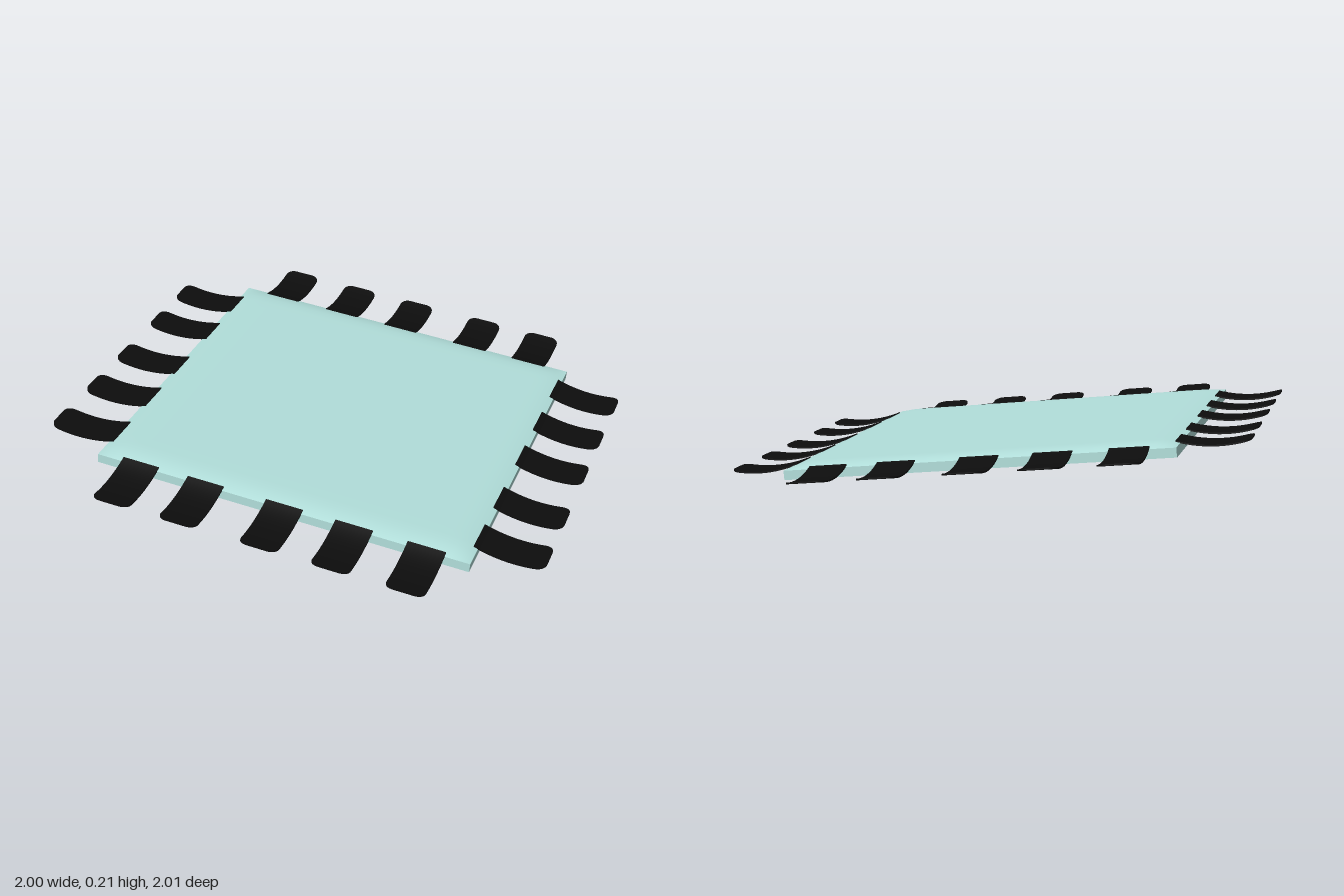
import * as THREE from 'three';

const HALF = 0.747;      // half the cushion's side
const EDGE = 0.036;      // height of the side walls
const CROWN = 0.016;     // extra height of the padded top
const TILT = -0.1015;

const clothMaterial = new THREE.MeshStandardMaterial({ color: 0xb2dfdb });
const tabMaterial = new THREE.MeshStandardMaterial({ color: 0x0d0d0d });

// Move every vertex of a geometry by a rule
function reshape(geometry, rule) {
  const p = geometry.attributes.position;
  const v = new THREE.Vector3();
  for (let i = 0; i < p.count; i++) {
    rule(v.fromBufferAttribute(p, i));
    p.setXYZ(i, v.x, v.y, v.z);
  }
  geometry.computeVertexNormals();
  return geometry;
}

// Square pad: flat base, straight walls, softly crowned top
function padGeometry() {
  const rise = (u) => {
    const t = Math.min(1, (1 - Math.abs(u)) * HALF / 0.1);
    return 1 - (1 - t) ** 2;
  };
  return reshape(new THREE.BoxGeometry(2, 1, 2, 28, 1, 28), (v) => {
    const u = Math.sin(v.x * Math.PI / 2); // denser grid towards the rim
    const w = Math.sin(v.z * Math.PI / 2);
    const top = v.y > 0;
    v.set(u * HALF, top ? EDGE + CROWN * rise(u) * rise(w) : 0, w * HALF);
  });
}

// Thin strap running outwards along +z, sagging, with a rounded outer end
function tabGeometry() {
  const start = 0.73, end = 1.003, halfWidth = 0.074, radius = 0.035;
  return reshape(new THREE.BoxGeometry(2, 0.006, 1, 4, 1, 24), (v) => {
    const s = Math.sin((v.z + 0.5) * Math.PI / 2); // denser rows at the tip
    const z = start + (end - start) * s;
    const over = Math.max(0, z - (end - radius));
    const inset = radius - Math.sqrt(Math.max(0, radius ** 2 - over ** 2));
    const k = (z - 0.885) / 0.118;
    v.set(v.x * (halfWidth - inset), v.y + 0.018 + 0.014 * k * k, z);
  });
}

export function createModel() {
  const model = new THREE.Group();
  model.name = 'tabbedPad';

  const tilted = new THREE.Group();
  tilted.name = 'tiltedPad';
  tilted.position.y = 0.079;
  tilted.rotation.z = TILT;
  model.add(tilted);

  const pad = new THREE.Mesh(padGeometry(), clothMaterial);
  pad.name = 'pad';
  tilted.add(pad);

  // Five unevenly spaced tabs, repeated around the four sides
  const offsets = [-0.573, -0.305, 0.015, 0.292, 0.575];
  const tab = tabGeometry();
  ['front', 'left', 'back', 'right'].forEach((side, i) => {
    const row = new THREE.Group();
    row.name = side + 'Tabs';
    row.rotation.y = i * Math.PI / 2;
    for (const x of offsets) {
      const mesh = new THREE.Mesh(tab, tabMaterial);
      mesh.name = 'tab';
      mesh.position.x = x;
      row.add(mesh);
    }
    tilted.add(row);
  });

  return model;
}
